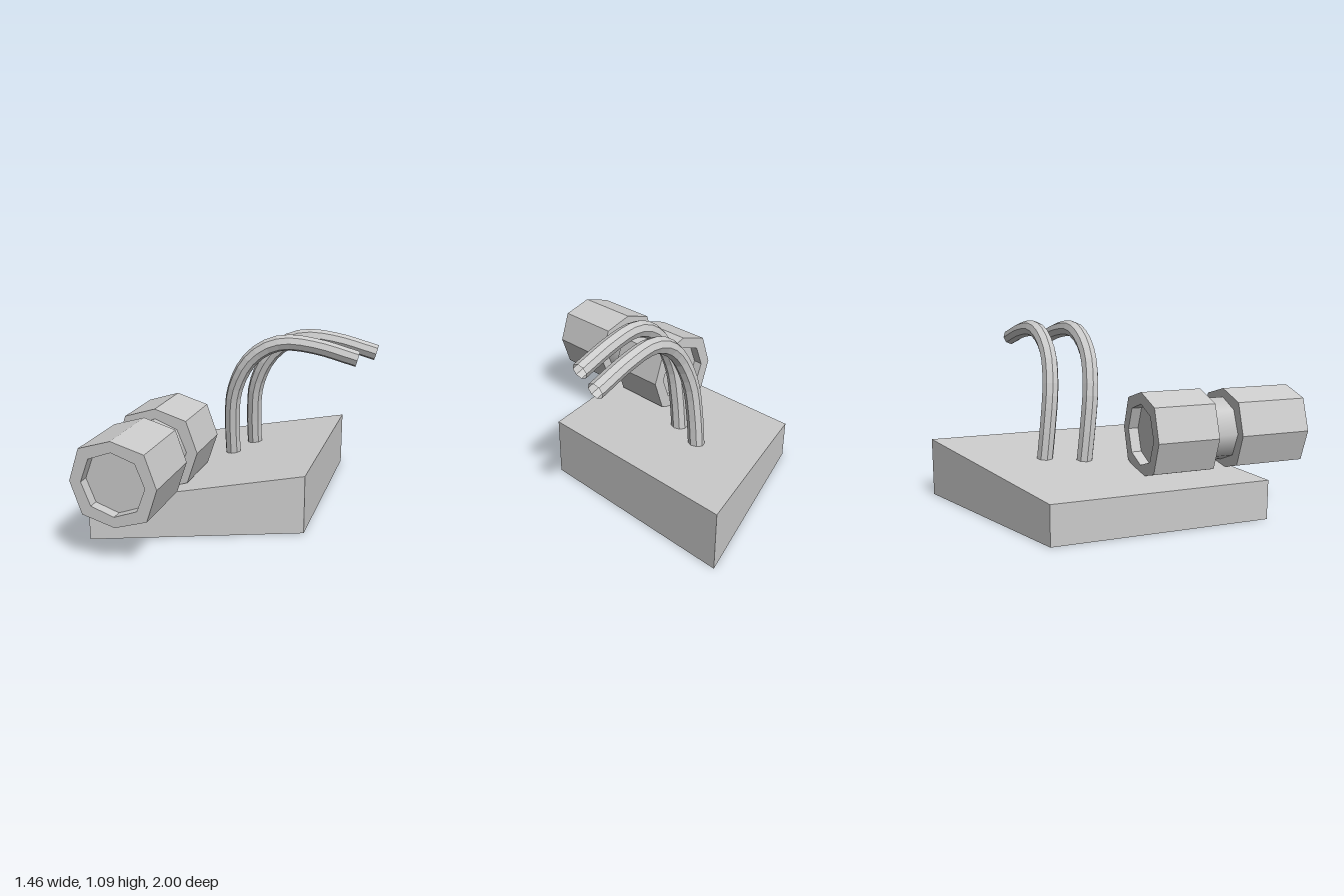
import * as THREE from 'three';

const flat = new THREE.MeshStandardMaterial({ color: 0xcccccc, flatShading: true });
const smooth = new THREE.MeshStandardMaterial({ color: 0xcccccc });
const thin = new THREE.MeshStandardMaterial({ color: 0xcccccc, flatShading: true, side: THREE.DoubleSide });

function add(parent, name, geometry, material = flat) {
  const mesh = new THREE.Mesh(geometry, material);
  mesh.name = name;
  parent.add(mesh);
  return mesh;
}

// Octagon with corners on the axes (rx, ry) and on the diagonals (d, d)
function octagon(rx, ry, d) {
  return [[rx, 0], [d, d], [0, ry], [-d, d], [-rx, 0], [-d, -d], [0, -ry], [d, -d]]
    .map(([x, y]) => new THREE.Vector2(x, y));
}

function extrude(shape, depth) {
  return new THREE.ExtrudeGeometry(shape, { depth, bevelEnabled: false });
}

// Octagonal drum from z0 to z1 with a shallow recess in one end
function drum(name, z0, z1, rx, ry, d, recessFront) {
  const group = new THREE.Group();
  group.name = name;
  const recess = 0.06;
  const rim = new THREE.Shape(octagon(rx, ry, d));
  rim.holes.push(new THREE.Path(octagon(0.18, 0.177, 0.13)));
  add(group, 'rim', extrude(rim, z1 - z0)).position.z = z0;
  const core = extrude(new THREE.Shape(octagon(0.18, 0.177, 0.13)), z1 - z0 - recess);
  add(group, 'core', core).position.z = recessFront ? z0 : z0 + recess;
  return group;
}

// Round neck between the drums: a ring of eight sides with shared normals
function neckGeometry(z0, z1) {
  const geometry = new THREE.CylinderGeometry(0.187, 0.187, z1 - z0, 8, 1, true);
  geometry.rotateX(Math.PI / 2);
  geometry.translate(0, 0, (z0 + z1) / 2);
  return geometry;
}

export function createModel() {
  const model = new THREE.Group();

  // Wedge base: sloped profile, sheared backwards towards +x
  const profile = new THREE.Shape([[-0.73, 0], [0.43, 0], [0.43, 0.355], [-0.73, 0.23]]
    .map(([x, y]) => new THREE.Vector2(x, y)));
  const base = extrude(profile, 1.285);
  const p = base.attributes.position;
  for (let i = 0; i < p.count; i++) {
    p.setZ(i, p.getZ(i) - 0.578 - 0.364 * (p.getX(i) + 0.73));
  }
  base.computeVertexNormals();
  add(model, 'base', base);

  // Double drum lying along z
  const roller = new THREE.Group();
  roller.name = 'roller';
  roller.position.set(-0.425, 0.48, 0);
  roller.add(drum('frontDrum', 0.57, 1, 0.245, 0.238, 0.183, true));
  roller.add(drum('backDrum', 0.05, 0.42, 0.252, 0.245, 0.187, false));
  add(roller, 'neck', neckGeometry(0.42, 0.57), smooth);
  model.add(roller);

  // Two curved, open-ended tubes
  const path = new THREE.CatmullRomCurve3([
    [-0.145, 0.25, -0.195], [-0.145, 0.5, -0.168], [-0.125, 0.7, -0.145], [-0.05, 0.875, -0.128],
    [0.03, 0.965, -0.13], [0.12, 1.017, -0.138], [0.22, 1.037, -0.148], [0.4, 1.015, -0.17],
    [0.635, 0.95, -0.195],
  ].map((v) => new THREE.Vector3(...v)));
  const tube = new THREE.TubeGeometry(path, 20, 0.049, 8, false);
  add(model, 'frontTube', tube, thin);
  add(model, 'backTube', tube, thin).position.set(0.083, 0, -0.22);

  return model;
}
